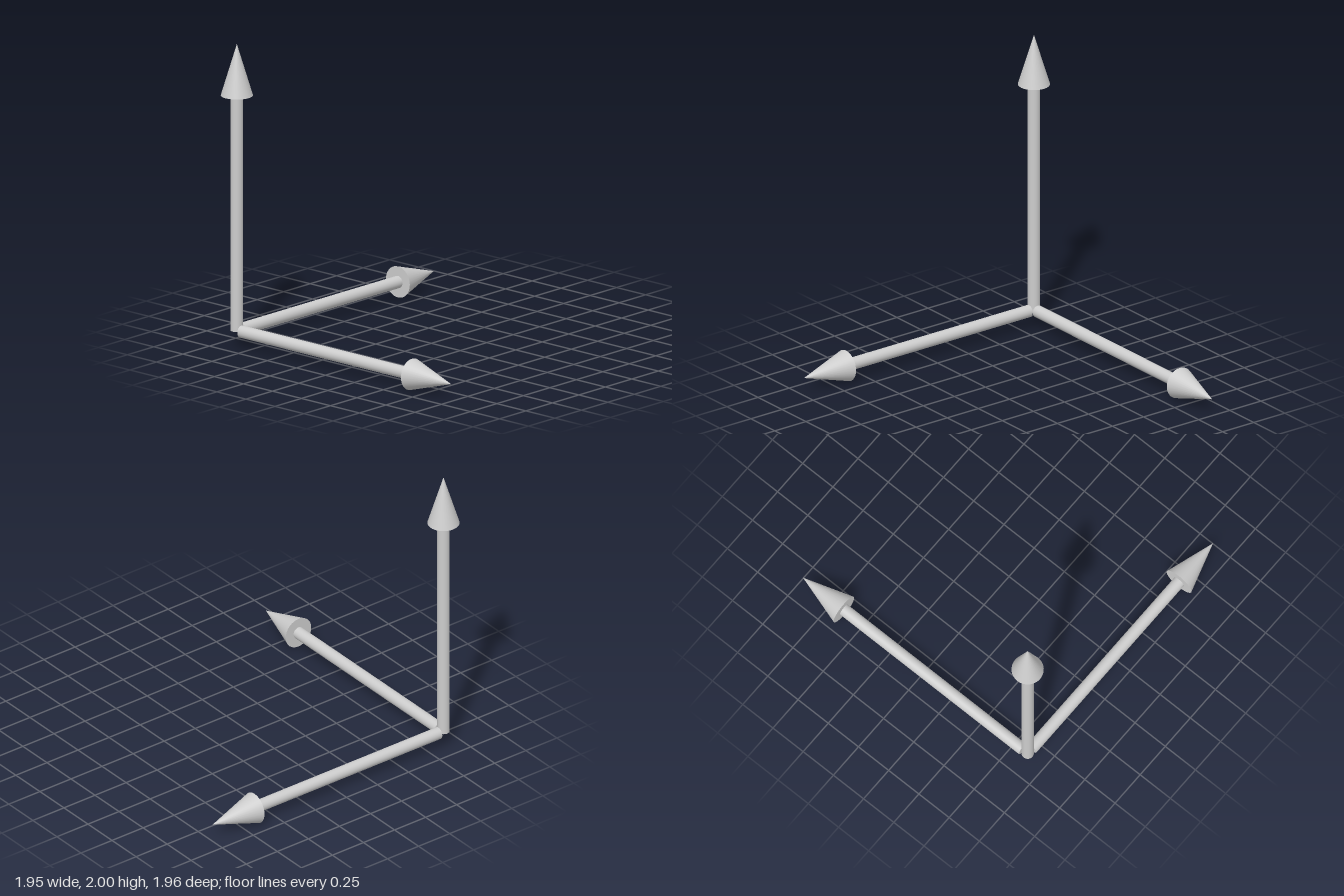
import * as THREE from 'three';

const SEGMENTS = 32;
const SHAFT_RADIUS = 0.04;
const HEAD_RADIUS = 0.103;
const HEAD_LENGTH = 0.34;

// An arrow along +y with its tail at the origin: a round shaft and a cone head.
function makeArrow(name, length, material) {
  const arrow = new THREE.Group();
  arrow.name = name;

  const shaftLength = length - HEAD_LENGTH;
  const shaft = new THREE.Mesh(
    new THREE.CylinderGeometry(SHAFT_RADIUS, SHAFT_RADIUS, shaftLength, SEGMENTS),
    material
  );
  shaft.name = name + 'Shaft';
  shaft.position.y = shaftLength / 2;

  const head = new THREE.Mesh(
    new THREE.ConeGeometry(HEAD_RADIUS, HEAD_LENGTH, SEGMENTS),
    material
  );
  head.name = name + 'Head';
  head.position.y = shaftLength + HEAD_LENGTH / 2;

  arrow.add(shaft, head);
  return arrow;
}

export function createModel() {
  const model = new THREE.Group();
  model.name = 'axisArrows';

  const grey = new THREE.MeshStandardMaterial({ color: 0xcccccc });
  grey.name = 'lightGrey';

  // Shared corner where the three arrows meet
  const corner = new THREE.Vector3(-0.873, HEAD_RADIUS, 0.879);

  // Upright arrow starts at the corner
  const up = makeArrow('upArrow', 2 - corner.y, grey);
  up.position.copy(corner);

  // Sideways arrow starts just clear of the upright shaft
  const side = makeArrow('sideArrow', 1.808, grey);
  side.position.copy(corner);
  side.position.x += SHAFT_RADIUS;
  side.rotation.z = -Math.PI / 2;

  // Backward arrow likewise
  const back = makeArrow('backArrow', 1.82, grey);
  back.position.copy(corner);
  back.position.z -= SHAFT_RADIUS;
  back.rotation.x = -Math.PI / 2;

  model.add(up, side, back);
  return model;
}
